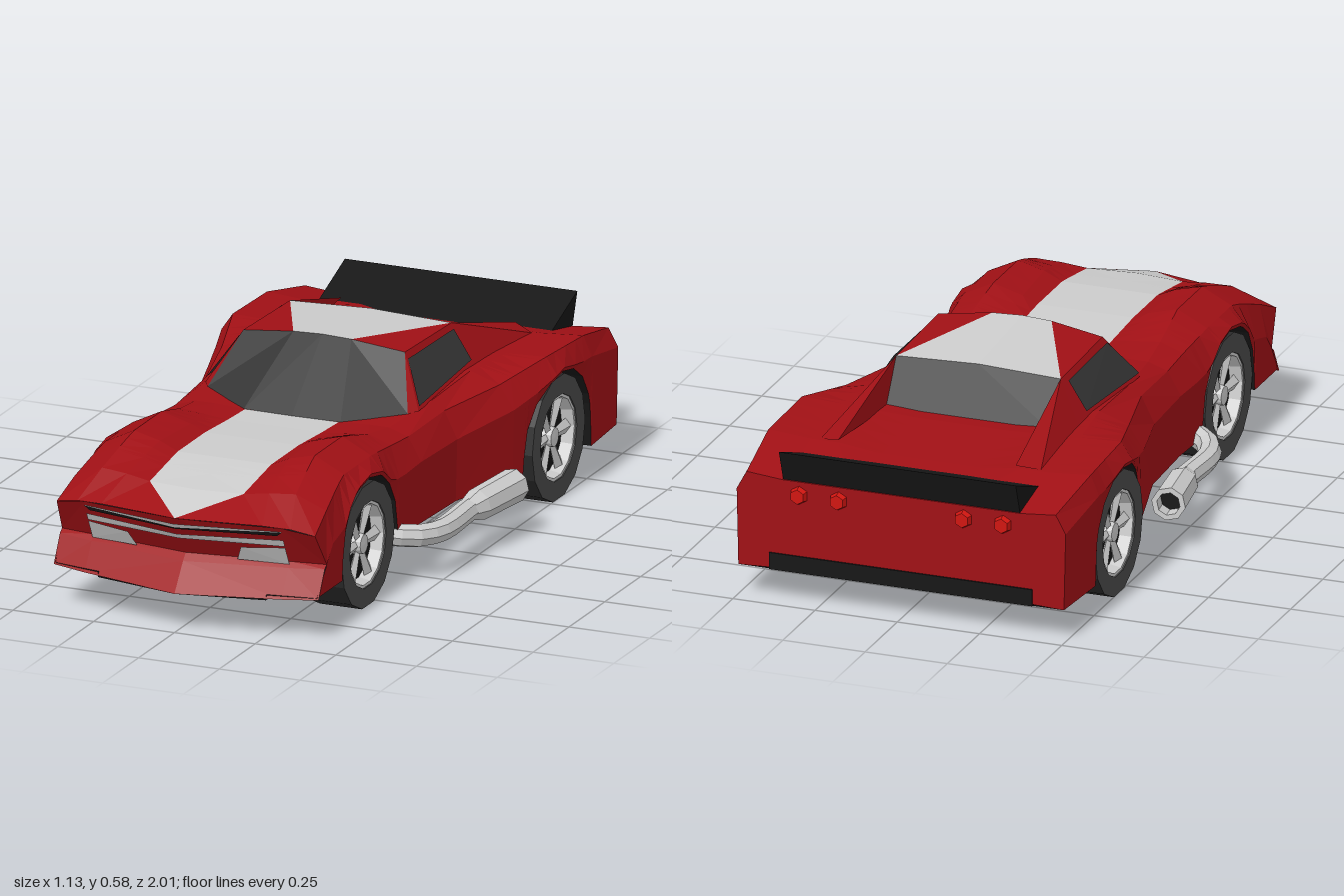
import * as THREE from 'three';

const mat = (color) => new THREE.MeshStandardMaterial({ color, flatShading: true, side: THREE.DoubleSide });
const RED = mat(0xa01015), GREY = mat(0xcccccc), BLACK = mat(0x161616), GLASS = mat(0x353535);
const RUBBER = mat(0x4a4a4a), TREAD = mat(0x2a2a2a), LAMP = mat(0xd01510);

const AXLES = [0.55, -0.555], ARCH = 0.2, HUB_Y = 0.185;

// Half-body stations: z, hood y, then x,y of fender inside, fender top, shoulder, flank
const STATIONS = [
  [-0.97, 0.375, 0.27, 0.375, 0.36, 0.375, 0.47, 0.385, 0.50, 0.33],
  [-0.75, 0.405, 0.27, 0.42, 0.36, 0.42, 0.49, 0.43, 0.515, 0.37],
  [-0.50, 0.425, 0.27, 0.43, 0.36, 0.435, 0.485, 0.44, 0.52, 0.38],
  [-0.30, 0.42, 0.27, 0.43, 0.34, 0.44, 0.43, 0.41, 0.475, 0.34],
  [-0.05, 0.41, 0.27, 0.42, 0.33, 0.425, 0.37, 0.40, 0.41, 0.32],
  [0.18, 0.405, 0.24, 0.41, 0.30, 0.41, 0.36, 0.39, 0.40, 0.32],
  [0.30, 0.41, 0.20, 0.415, 0.29, 0.425, 0.36, 0.40, 0.405, 0.32],
  [0.46, 0.42, 0.19, 0.44, 0.28, 0.465, 0.37, 0.42, 0.41, 0.33],
  [0.65, 0.42, 0.20, 0.445, 0.28, 0.465, 0.37, 0.42, 0.41, 0.31],
  [0.86, 0.39, 0.22, 0.40, 0.30, 0.405, 0.39, 0.365, 0.41, 0.27],
  [1.00, 0.345, 0.25, 0.34, 0.33, 0.335, 0.40, 0.32, 0.41, 0.22],
];

// The nose sweeps back towards its corners
const sweep = ([x, y, z]) => [x, y, z - Math.abs(x) * 0.2 * Math.max(0, Math.min(1, (z - 0.7) / 0.3))];

// Mesh from convex polygons, optionally mirrored in x
function panels(name, material, polys, mirror = true) {
  const pos = [];
  for (const p of polys) {
    for (let i = 1; i < p.length - 1; i++) {
      const tri = [p[0], p[i], p[i + 1]];
      pos.push(...tri.flat());
      if (mirror) pos.push(...[...tri].reverse().flatMap(([x, y, z]) => [-x, y, z]));
    }
  }
  const g = new THREE.BufferGeometry();
  g.setAttribute('position', new THREE.Float32BufferAttribute(pos, 3));
  g.computeVertexNormals();
  const m = new THREE.Mesh(g, material);
  m.name = name;
  return m;
}

// Lower edge of the flank, following the wheel arches
function sillY(z) {
  for (const c of AXLES) {
    const d = Math.abs(z - c);
    if (d <= ARCH) return HUB_Y + Math.sqrt(ARCH * ARCH - d * d);
  }
  return z < -0.7 ? 0.1 : 0.135;
}

function section(z) {
  let i = 0;
  while (i < STATIONS.length - 2 && z > STATIONS[i + 1][0]) i++;
  const a = STATIONS[i], b = STATIONS[i + 1], t = (z - a[0]) / (b[0] - a[0]);
  const v = a.map((n, k) => n + (b[k] - n) * t);
  const sill = sillY(z), nose = z > 0.99;
  const flankY = Math.max(v[9], sill + 0.012);
  const pts = [[0, v[1], z], [nose ? 0 : 0.145, v[1], z]];
  for (const k of [2, 4, 6]) pts.push([v[k], v[k + 1], z]);
  pts.push([v[8], flankY, nose ? z - 0.08 : z], [v[8] - 0.005, sill, z]);
  pts.push([0.26, sill, z], [0.26, 0.12, z], [0, 0.12, z]);
  return pts.map(sweep);
}

function body() {
  const g = new THREE.Group();
  g.name = 'body';
  const zs = STATIONS.map((s) => s[0]);
  for (const c of AXLES) {
    zs.push(c - ARCH - 0.006, c + ARCH + 0.006);
    for (let k = 0; k <= 8; k++) zs.push(c + ARCH * 0.9999 * Math.cos((k * Math.PI) / 8));
  }
  zs.sort((a, b) => a - b);
  const secs = zs.map(section);
  const paint = [], stripe = [], under = [];
  for (let i = 0; i < secs.length - 1; i++) {
    for (let j = 0; j < 9; j++) {
      const quad = [secs[i][j], secs[i + 1][j], secs[i + 1][j + 1], secs[i][j + 1]];
      (j > 5 ? under : j === 0 && zs[i] >= 0.18 ? stripe : paint).push(quad);
    }
  }
  // Tail panel
  paint.push([[0, 0.12, -0.97], ...secs[0].slice(0, 7)]);
  // Undercut nose and chin spoiler
  const cols = [0, 0.305, 0.41].map((x, c) => [
    [c === 2 ? 0.4 : x, [0.345, 0.337, 0.32][c], 1], [x, 0.22, 0.92],
    [x, 0.2 + c * 0.005, 0.94], [x, 0.12 + c * 0.005, 1],
  ].map(sweep));
  for (let c = 0; c < 2; c++) {
    for (let r = 0; r < 3; r++) paint.push([cols[c][r], cols[c][r + 1], cols[c + 1][r + 1], cols[c + 1][r]]);
  }
  g.add(panels('bodyShell', RED, paint), panels('hoodStripe', GREY, stripe), panels('underbody', BLACK, under));
  return g;
}

// Grille bars and headlights on the sloping nose
function noseTrim() {
  const at = (x, y) => sweep([x, y, 0.935 + (0.08 * (y - 0.22)) / 0.125]);
  const plate = (pts) => pts.map(([x, y]) => at(x, y));
  const g = new THREE.Group();
  g.name = 'noseTrim';
  g.add(
    panels('grilleGap', BLACK, [plate([[0, 0.317], [0, 0.312], [0.29, 0.312], [0.305, 0.325]])]),
    panels('upperGrilleBar', GREY, [plate([[0, 0.33], [0, 0.317], [0.305, 0.325], [0.305, 0.328]])]),
    panels('lowerGrilleBar', GREY, [plate([[0, 0.293], [0, 0.278], [0.305, 0.276], [0.305, 0.298]])]),
    panels('headlights', GREY, [plate([[0.175, 0.262], [0.155, 0.217], [0.305, 0.214], [0.305, 0.272]])]),
  );
  return g;
}

function cabin() {
  const g = new THREE.Group();
  g.name = 'cabin';
  const f0 = [0, 0.585, -0.03], f1 = [0.09, 0.581, -0.032], f2 = [0.25, 0.56, -0.045];
  const r0 = [0, 0.56, -0.37], r2 = [0.25, 0.55, -0.37];
  const w0 = [0, 0.403, 0.185], w1 = [0.15, 0.404, 0.18], w2 = [0.31, 0.418, 0.07];
  const base = [0.33, 0.42, 0.04], hip = [0.325, 0.43, -0.42];
  const tailIn = [0.27, 0.435, -0.77], tailOut = [0.335, 0.42, -0.74], deck = [0.25, 0.42, -0.45];
  g.add(
    panels('windshield', GLASS, [[f0, w0, w1, f1], [f1, w1, w2, f2]]),
    panels('roofPanel', GREY, [[r0, f0, f1, r2]]),
    panels('roofSidesAndPillars', RED, [
      [r2, f1, f2], [f2, w2, base], [r2, f2, base, hip],
      [r2, hip, tailOut, tailIn], [r2, tailIn, deck],
    ]),
    panels('rearWindow', GLASS, [[r0, r2, deck, [0, 0.42, -0.45]]]),
    panels('sideWindows', GLASS, [[
      [0.262, 0.543, -0.04], [0.33, 0.433, 0.035], [0.321, 0.455, -0.35], [0.266, 0.54, -0.35],
    ]]),
  );
  return g;
}

// Wedge-shaped tail spoiler, lamps and valance
function tail() {
  const g = new THREE.Group();
  g.name = 'tail';
  const a = [0.36, 0.385, -0.77], b = [0.36, 0.47, -1], c = [0.36, 0.37, -0.965];
  const mid = ([, y, z]) => [0, y, z];
  g.add(panels('spoiler', BLACK, [
    [a, b, c], [mid(b), mid(a), a, b], [mid(c), mid(b), b, c], [mid(a), mid(c), c, a],
  ]));
  for (const x of [-0.31, -0.19, 0.19, 0.31]) {
    const lamp = new THREE.Mesh(new THREE.CylinderGeometry(0.03, 0.022, 0.025, 6), LAMP);
    lamp.rotation.x = Math.PI / 2;
    lamp.position.set(x, 0.335, -0.975);
    lamp.name = 'tailLamp';
    g.add(lamp);
  }
  const valance = new THREE.Mesh(new THREE.BoxGeometry(0.8, 0.05, 0.06), BLACK);
  valance.position.set(0, 0.125, -0.945);
  valance.name = 'rearValance';
  g.add(valance);
  return g;
}

// Wheel along local y, outer face at the top
function wheel(width) {
  const g = new THREE.Group();
  const h = width / 2;
  const lathe = (name, m, pts) => {
    const mesh = new THREE.Mesh(new THREE.LatheGeometry(pts.map((p) => new THREE.Vector2(...p)), 14), m);
    mesh.name = name;
    g.add(mesh);
  };
  lathe('tread', TREAD, [[0, -h], [0.185, -h], [0.185, h]]);
  lathe('sidewall', RUBBER, [[0.185, h], [0.127, h], [0.127, h - 0.04]]);
  lathe('rimRing', GREY, [[0.127, h - 0.004], [0.118, h - 0.004], [0.112, h - 0.04]]);
  lathe('rimDisc', BLACK, [[0.127, h - 0.04], [0, h - 0.04]]);
  lathe('hubCap', GREY, [[0.032, h - 0.04], [0.028, h - 0.012], [0, h - 0.01]]);
  for (let k = 0; k < 6; k++) {
    const spoke = new THREE.Mesh(new THREE.CylinderGeometry(0.024, 0.013, 0.1, 4), GREY);
    spoke.scale.z = 0.6;
    const arm = new THREE.Group();
    spoke.rotation.x = Math.PI / 2;
    spoke.position.set(0, h - 0.028, 0.068);
    arm.rotation.y = (k * Math.PI) / 3;
    arm.name = 'spoke';
    arm.add(spoke);
    g.add(arm);
  }
  return g;
}

// Side pipe with a wider hollow muffler
function sidePipe(s) {
  const g = new THREE.Group();
  g.name = s > 0 ? 'leftExhaust' : 'rightExhaust';
  const v = (x, y, z) => new THREE.Vector3(s * x, y, z);
  const path = new THREE.CatmullRomCurve3([v(0.36, 0.15, 0.34), v(0.43, 0.14, 0.3), v(0.47, 0.135, 0.22), v(0.475, 0.14, 0.02)]);
  const pipe = new THREE.Mesh(new THREE.TubeGeometry(path, 8, 0.034, 8), GREY);
  pipe.name = 'pipe';
  const profile = [[0.033, 0], [0.047, 0.05], [0.05, 0.24], [0.034, 0.24], [0.034, 0.18]];
  const muffler = new THREE.Mesh(new THREE.LatheGeometry(profile.map((p) => new THREE.Vector2(...p)), 8), GREY);
  const bore = new THREE.Mesh(new THREE.CylinderGeometry(0.034, 0.034, 0.01, 8), BLACK);
  bore.position.y = 0.185;
  muffler.add(bore);
  muffler.name = 'muffler';
  bore.name = 'bore';
  const start = v(0.475, 0.14, 0.025), end = v(0.515, 0.15, -0.21);
  muffler.position.copy(start);
  muffler.quaternion.setFromUnitVectors(new THREE.Vector3(0, 1, 0), end.sub(start).normalize());
  g.add(pipe, muffler);
  return g;
}

export function createModel() {
  const car = new THREE.Group();
  car.name = 'sportsCar';
  car.add(body(), noseTrim(), cabin(), tail());
  for (const s of [1, -1]) {
    car.add(sidePipe(s));
    AXLES.forEach((z, i) => {
      const outer = i ? 0.5 : 0.4;
      const w = wheel(outer - 0.27);
      w.name = (i ? 'rear' : 'front') + (s > 0 ? 'Left' : 'Right') + 'Wheel';
      w.rotation.z = (-s * Math.PI) / 2;
      w.position.set((s * (outer + 0.27)) / 2, HUB_Y, z);
      car.add(w);
    });
  }
  return car;
}
